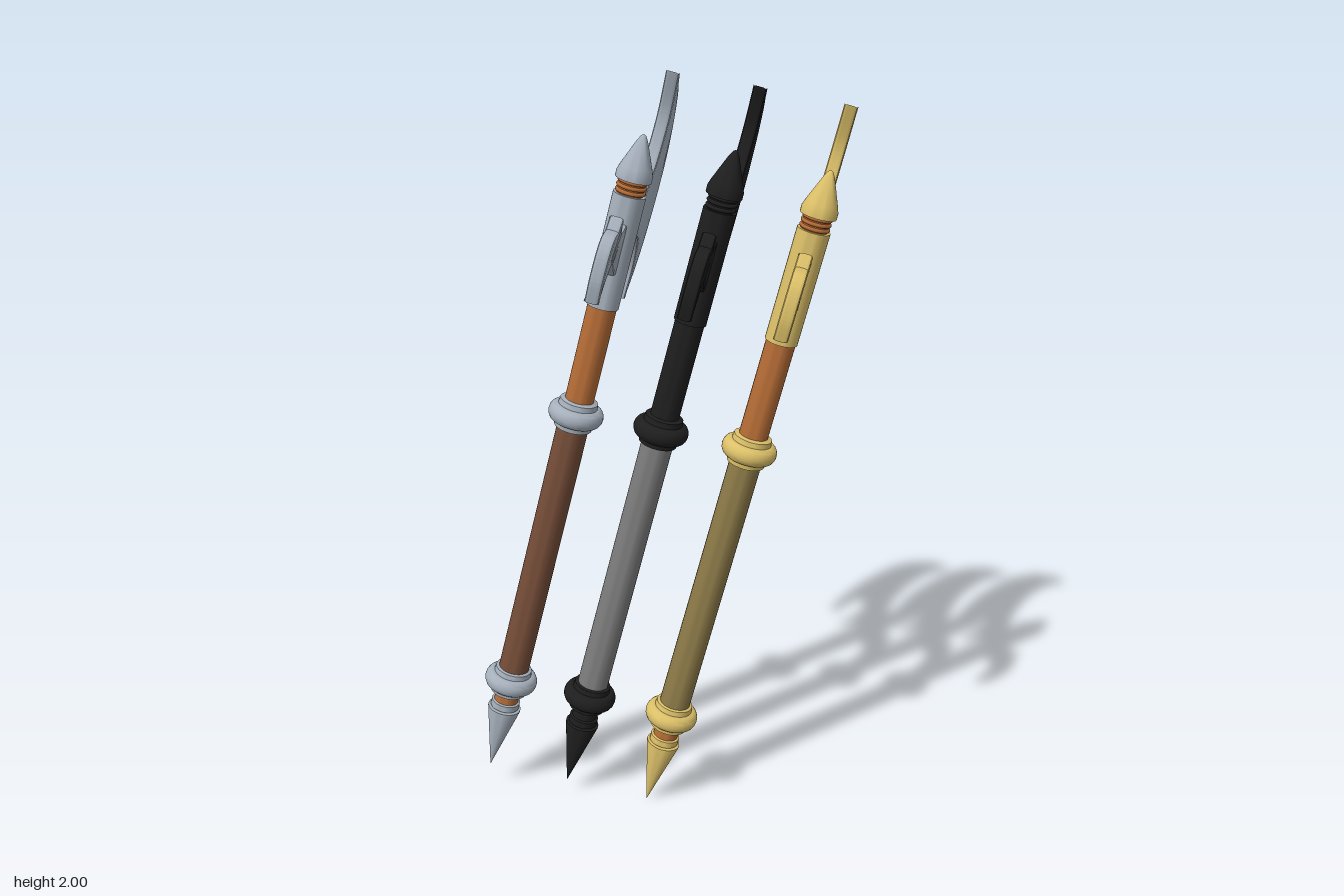
import * as THREE from 'three';
import { toCreasedNormals } from 'three/addons/utils/BufferGeometryUtils.js';

const TILT = Math.atan(0.252);

function material(name, color) {
  const m = new THREE.MeshStandardMaterial({ color });
  m.name = name;
  return m;
}

// Turned part: points are [radius, height along the shaft], bottom to top
function turned(name, points, mat) {
  const g = new THREE.LatheGeometry(points.map(([r, s]) => new THREE.Vector2(r, s)), 32);
  const mesh = new THREE.Mesh(toCreasedNormals(g, 0.6), mat);
  mesh.name = name;
  return mesh;
}

// Straight run of shaft
const rod = (name, r, from, to, mat) =>
  turned(name, [[0, from], [r, from], [r, to], [0, to]], mat);

// Rounded collar with a small flange on each side
function collar(name, s, mat) {
  const profile = [[0.036, -0.042], [0.05, -0.038], [0.052, -0.024], [0.062, -0.024]];
  for (let i = 0; i <= 8; i++) {
    const a = -Math.PI / 2 + (i / 8) * Math.PI;
    profile.push([0.054 + 0.019 * Math.cos(a), 0.024 * Math.sin(a)]);
  }
  profile.push([0.052, 0.024], [0.05, 0.038], [0.036, 0.042]);
  profile.splice(3, 1);
  return turned(name, profile.map(([r, y]) => [r, y + s]), mat);
}

// Crescent blade, hanging barb and rear horn as one outline in (z, height)
function bladeGeometry() {
  const shape = new THREE.Shape();
  const curve = (...pts) => shape.splineThru(pts.map(([z, s]) => new THREE.Vector2(z, s)));
  shape.moveTo(0, 1.65);
  shape.lineTo(-0.06, 1.65);
  // upper inside of the crescent
  curve([-0.116, 1.648], [-0.18, 1.675], [-0.243, 1.735], [-0.275, 1.806], [-0.282, 1.882], [-0.249, 1.986]);
  // cutting edge
  curve([-0.328, 1.931], [-0.392, 1.844], [-0.429, 1.751], [-0.435, 1.669], [-0.423, 1.588],
    [-0.392, 1.5], [-0.344, 1.43], [-0.275, 1.364]);
  // lower inside and barb
  curve([-0.294, 1.435], [-0.286, 1.489], [-0.259, 1.533], [-0.212, 1.549], [-0.159, 1.533]);
  curve([-0.138, 1.489], [-0.122, 1.424]);
  curve([-0.106, 1.489], [-0.098, 1.522]);
  shape.lineTo(-0.053, 1.517);
  shape.lineTo(0.037, 1.511);
  // horn
  curve([0.074, 1.533], [0.111, 1.56], [0.148, 1.566], [0.185, 1.533], [0.212, 1.484]);
  curve([0.222, 1.544], [0.212, 1.609], [0.185, 1.645], [0.143, 1.653]);
  shape.lineTo(0.122, 1.683);
  curve([0.106, 1.65], [0.074, 1.637], [0.037, 1.648]);
  shape.closePath();
  const g = new THREE.ExtrudeGeometry(shape, {
    depth: 0.018, curveSegments: 20, bevelEnabled: true,
    bevelThickness: 0.009, bevelSize: 0.007, bevelOffset: -0.007, bevelSegments: 2,
  });
  g.translate(0, 0, -0.009);
  g.rotateY(-Math.PI / 2);
  return toCreasedNormals(g, 0.5);
}

function axe(name, metal, wood, grip, blade) {
  const group = new THREE.Group();
  group.name = name;
  const head = new THREE.Mesh(blade, metal);
  head.name = 'blade';
  group.add(
    head,
    turned('buttSpike', [[0, 0], [0.046, 0.195], [0.046, 0.2], [0, 0.205]], metal),
    rod('buttNeck', 0.034, 0.2, 0.27, wood),
    turned('buttNeckBand', [[0.03, 0.2], [0.04, 0.204], [0.04, 0.222], [0.03, 0.226]], metal),
    collar('lowerCollar', 0.293, metal),
    rod('grip', 0.042, 0.3, 1.11, grip),
    collar('upperCollar', 1.117, metal),
    rod('upperShaft', 0.038, 1.12, 1.45, wood),
    rod('socket', 0.042, 1.42, 1.715, metal),
    rod('topNeck', 0.034, 1.7, 1.76, wood),
    turned('topSpike', [[0, 1.752], [0.046, 1.752], [0.046, 1.768], [0.04, 1.785],
      [0.014, 1.848], [0.006, 1.862], [0, 1.866]], metal),
  );
  // thin binding rings on the neck below the top spike
  for (const s of [1.722, 1.735, 1.748]) {
    const ring = new THREE.Mesh(new THREE.TorusGeometry(0.034, 0.005, 8, 32), wood);
    ring.rotation.x = Math.PI / 2;
    ring.position.y = s;
    ring.name = 'neckBinding';
    group.add(ring);
  }
  group.rotation.z = -TILT;
  return group;
}

export function createModel() {
  const silver = material('silver', 0xa6b0bc);
  const black = material('black', 0x1e1e1e);
  const gold = material('gold', 0xdcc069);
  const wood = material('orange wood', 0xb56c36);
  const brown = material('brown leather', 0x754d38);
  const grey = material('grey grip', 0x7c7c7c);
  const olive = material('olive grip', 0x8c7a48);

  const blade = bladeGeometry();
  const model = new THREE.Group();
  model.name = 'threeAxes';
  const axes = [
    ['silverAxe', silver, wood, brown, [-0.473, 0.075, 0.112]],
    ['blackAxe', black, black, grey, [-0.25, 0.042, 0.107]],
    ['goldAxe', gold, wood, olive, [-0.02, 0, 0.102]],
  ];
  for (const [name, metal, shaft, grip, pos] of axes) {
    const a = axe(name, metal, shaft, grip, blade);
    a.position.set(...pos);
    model.add(a);
  }
  return model;
}
